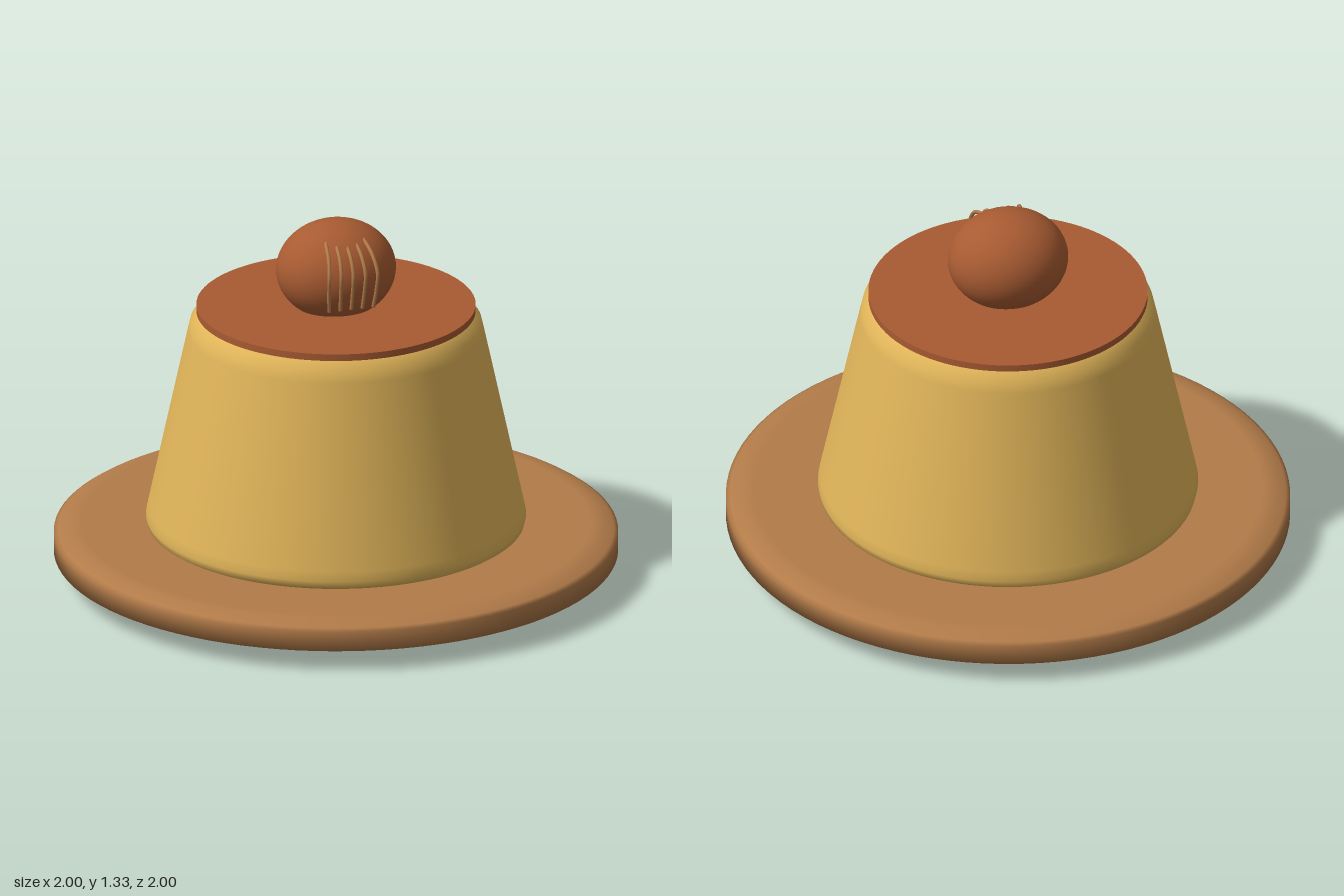
import * as THREE from 'three';

const material = (name, color) => {
  const m = new THREE.MeshStandardMaterial({ color });
  m.name = name;
  return m;
};

export function createModel() {
  const group = new THREE.Group();
  const wood = material('warm wood', 0xb27b49);
  const custard = material('custard yellow', 0xe0b459);
  const caramel = material('caramel brown', 0xa85b32);

  const add = (name, geometry, mat) => {
    const mesh = new THREE.Mesh(geometry, mat);
    mesh.name = name;
    group.add(mesh);
    return mesh;
  };
  const lathe = (points) =>
    new THREE.LatheGeometry(points.map(([r, y]) => new THREE.Vector2(r, y)), 96);

  // Round plate with a sloping underside and bevelled rim
  add('plate', lathe([
    [0, 0], [0.69, 0], [0.7, 0.003], [1, 0.078], [1, 0.15], [0.985, 0.16], [0.94, 0.18], [0.9, 0.181], [0, 0.181],
  ]), wood);

  // Tapered pudding with softened edges
  add('pudding', lathe([
    [0.65, 0.178], [0.668, 0.19], [0.674, 0.215], [0.667, 0.25], [0.525, 0.91],
    [0.517, 0.945], [0.492, 0.98], [0.48, 0.985], [0, 0.985],
  ]), custard);

  // Caramel layer
  const layer = add('caramelLayer', new THREE.CylinderGeometry(0.495, 0.495, 0.025, 96), caramel);
  layer.position.y = 0.9975;

  // Slightly flattened cherry
  const cherry = add('cherry', new THREE.SphereGeometry(1, 48, 32), caramel);
  cherry.scale.set(0.215, 0.18, 0.19);
  cherry.position.y = 1.147;

  // Thin strands arching over the cherry's front
  for (let i = -2; i <= 2; i++) {
    const path = new THREE.CatmullRomCurve3([
      [0.041, 1.055, 0.175], [0.044, 1.12, 0.19], [0.045, 1.19, 0.2],
      [0.041, 1.245, 0.17], [0.037, 1.275, 0.12], [0.031, 1.294, 0.06],
    ].map(([x, y, z]) => new THREE.Vector3(x * i, y, z)));
    add('strand' + (i + 3), new THREE.TubeGeometry(path, 28, 0.007, 8), wood);
  }
  return group;
}
